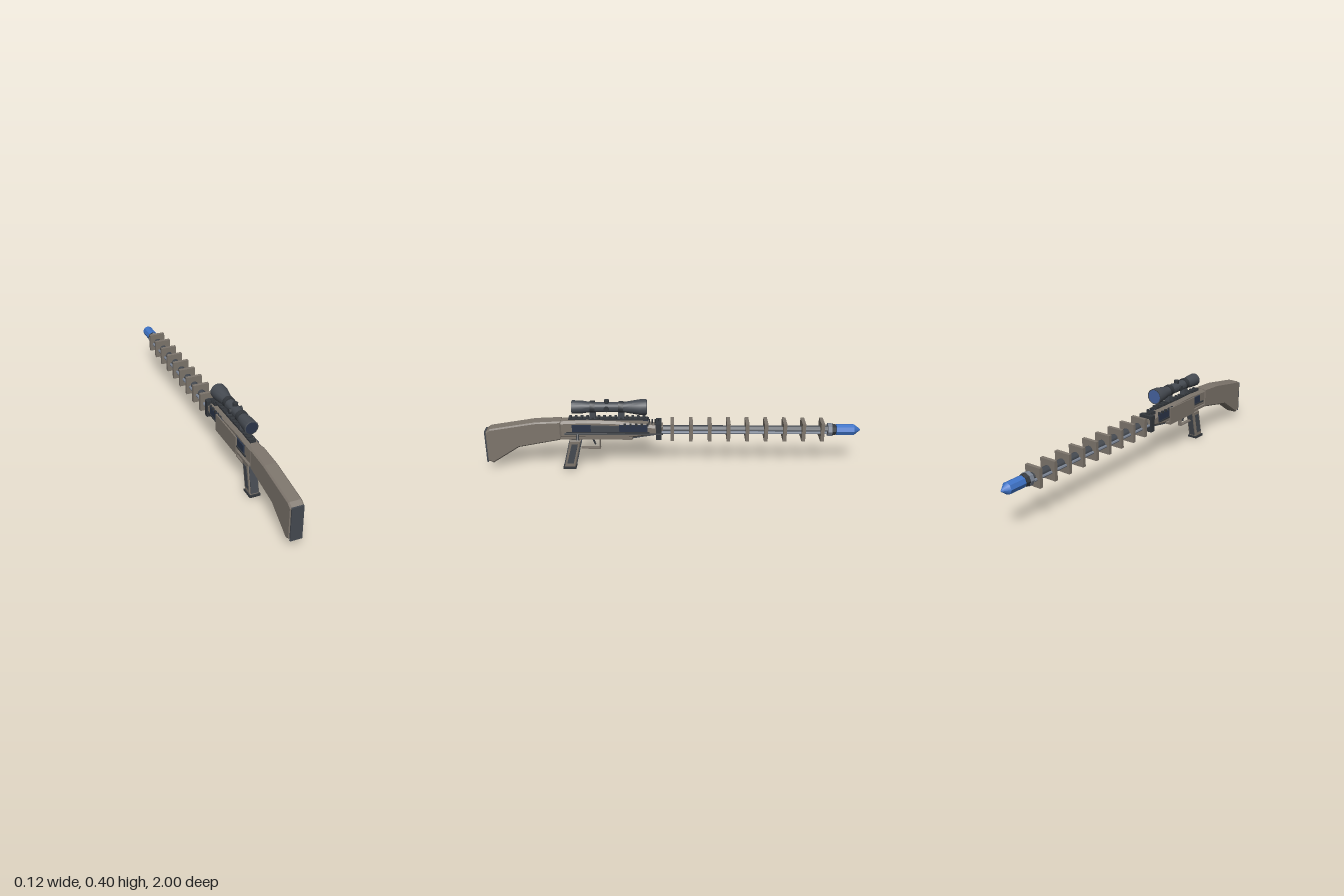
import * as THREE from 'three';
import { toCreasedNormals } from 'three/addons/utils/BufferGeometryUtils.js';

const mat = (name, color) => Object.assign(new THREE.MeshStandardMaterial({ color }), { name });

export function createModel() {
  const taupe = mat('taupe', 0x7d756c);
  const slate = mat('slate', 0x454a51);
  const navy = mat('navy', 0x2b3549);
  const charcoal = mat('charcoal', 0x33373c);
  const steel = mat('steel', 0x7b8493);
  const blue = mat('blue', 0x3f74c8);
  const lensBlue = mat('lens blue', 0x46639f);

  const body = new THREE.Group();
  body.name = 'rifle';
  body.position.x = -0.008;

  const add = (name, geo, material, x = 0, y = 0, z = 0) => {
    const m = new THREE.Mesh(geo, material);
    m.name = name;
    m.position.set(x, y, z);
    body.add(m);
    return m;
  };
  const box = (name, material, w, h, d, x, y, z) =>
    add(name, new THREE.BoxGeometry(w, h, d), material, x, y, z);
  // round part lying along z; front radius faces +z
  const tube = (name, material, rFront, rBack, z0, z1, x, y, sides = 12) =>
    add(name, toCreasedNormals(new THREE.CylinderGeometry(rFront, rBack, z1 - z0, sides).rotateX(Math.PI / 2), 0.7),
      material, x, y, (z0 + z1) / 2);
  // side outline of [z, y] points, extruded across the width
  const profile = (name, material, pts, width, bevel = 0, x = 0) => {
    const shape = new THREE.Shape(pts.map(([z, y]) => new THREE.Vector2(z, y)));
    const geo = new THREE.ExtrudeGeometry(shape, {
      depth: width - 2 * bevel, bevelEnabled: bevel > 0, bevelSize: bevel,
      bevelThickness: bevel, bevelOffset: -bevel, bevelSegments: 1
    });
    geo.translate(0, 0, -(width - 2 * bevel) / 2).rotateY(-Math.PI / 2);
    return add(name, geo, material, x);
  };

  // Stock and butt plate
  profile('stock', taupe, [[0.995, 0.055], [0.995, 0.222], [0.97, 0.24], [0.73, 0.28], [0.59, 0.287],
    [0.59, 0.18], [0.82, 0.135], [0.965, 0.04]], 0.07, 0.007);
  box('buttPlate', slate, 0.061, 0.18, 0.008, 0, 0.135, 0.996);

  // Receiver
  profile('receiver', taupe, [[0.6, 0.192], [0.6, 0.284], [0.45, 0.291], [0.3, 0.286], [0.13, 0.265],
    [0.05, 0.257], [0.05, 0.215], [0.2, 0.192]], 0.068, 0.012);
  box('lowerPlate', taupe, 0.086, 0.012, 0.38, 0, 0.193, 0.4);
  profile('foreEndStrap', slate, [[0.22, 0.185], [0.22, 0.194], [0.08, 0.218], [0.08, 0.208]], 0.05);

  // Side panels on both flanks
  for (const s of [-1, 1]) {
    box('rearPanel', navy, 0.012, 0.046, 0.1, s * 0.036, 0.246, 0.48);
    box('middlePanel', slate, 0.012, 0.034, 0.15, s * 0.036, 0.248, 0.355);
    box('lowerSidePanel', taupe, 0.012, 0.034, 0.23, s * 0.04, 0.214, 0.345);
    box('frontPanel', navy, 0.012, 0.04, 0.15, s * 0.036, 0.249, 0.205);
    box('sideTrim', charcoal, 0.006, 0.007, 0.44, s * 0.044, 0.228, 0.34);
    for (let i = 0; i < 5; i++) box('panelTooth', charcoal, 0.01, 0.014, 0.012, s * 0.038, 0.272, 0.13 + i * 0.03);
  }
  box('sidePlate', taupe, 0.007, 0.095, 0.24, -0.046, 0.23, 0.34);

  // Long slide rod with bolt handle on the left
  tube('slideRod', charcoal, 0.005, 0.005, 0.05, 0.57, 0.05, 0.224, 8);
  const handle = add('boltHandle', new THREE.CylinderGeometry(0.007, 0.009, 0.035, 8), charcoal, 0.055, 0.208, 0.5);
  handle.rotation.z = 0.55;

  // Grip with dark base and rear inset
  profile('grip', taupe, [[0.548, 0.17], [0.488, 0.17], [0.525, 0.012], [0.583, 0.012]], 0.052, 0.004);
  profile('gripBack', slate, [[0.552, 0.165], [0.545, 0.165], [0.58, 0.02], [0.587, 0.02]], 0.04);
  profile('gripFront', slate, [[0.49, 0.16], [0.485, 0.16], [0.518, 0.02], [0.526, 0.02]], 0.03);
  for (const s of [-1, 1])
    profile('gripInset', slate, [[0.538, 0.15], [0.505, 0.15], [0.533, 0.035], [0.568, 0.035]], 0.004, 0, s * 0.026);
  box('gripBase', charcoal, 0.058, 0.011, 0.07, 0, 0.0055, 0.556);
  box('gripNeck', charcoal, 0.03, 0.028, 0.04, 0, 0.178, 0.518);

  // Trigger and guard
  box('guardBottom', taupe, 0.022, 0.006, 0.105, 0, 0.119, 0.437);
  box('guardFront', taupe, 0.022, 0.07, 0.006, 0, 0.151, 0.388);
  profile('trigger', charcoal, [[0.435, 0.188], [0.425, 0.188], [0.41, 0.138], [0.416, 0.138]], 0.01);

  // Sight rail and mounts
  box('rail', charcoal, 0.03, 0.008, 0.42, 0, 0.292, 0.34);
  for (let i = 0; i < 14; i++) box('railTooth', charcoal, 0.034, 0.008, 0.014, 0, 0.299, 0.15 + i * 0.03);
  for (const z of [0.27, 0.42]) {
    box('mount', slate, 0.03, 0.045, 0.032, 0, 0.319, z);
    tube('mountRing', charcoal, 0.031, 0.031, z - 0.013, z + 0.013, 0, 0.36, 16);
  }

  // Scope
  const outline = [[0.036, 0.137], [0.042, 0.135], [0.042, 0.17], [0.035, 0.21], [0.027, 0.26],
    [0.027, 0.43], [0.034, 0.475], [0.036, 0.528], [0.031, 0.53]];
  const scopeGeo = new THREE.LatheGeometry(outline.map(([r, z]) => new THREE.Vector2(r, z)), 20).rotateX(Math.PI / 2);
  add('scope', toCreasedNormals(scopeGeo, 0.6), slate, 0, 0.358, 0);
  tube('frontLens', lensBlue, 0.037, 0.037, 0.136, 0.142, 0, 0.358, 20);
  tube('eyepieceLens', navy, 0.033, 0.033, 0.523, 0.529, 0, 0.358, 20);
  add('topTurret', new THREE.CylinderGeometry(0.014, 0.014, 0.018, 12), charcoal, 0, 0.39, 0.345);
  const sideTurret = add('sideTurrets', new THREE.CylinderGeometry(0.014, 0.014, 0.072, 12), charcoal, 0, 0.358, 0.345);
  sideTurret.rotation.z = Math.PI / 2;

  // Barrel, side rods and square cooling plates
  tube('barrel', slate, 0.021, 0.021, -0.87, 0.12, 0, 0.23, 12);
  for (const s of [-1, 1]) tube('sideRod', steel, 0.008, 0.008, -0.82, 0.1, s * 0.024, 0.222, 8);
  box('barrelBlock', charcoal, 0.08, 0.09, 0.03, 0, 0.23, 0.072);
  for (let i = 0; i < 4; i++) box('frontSightPost', charcoal, 0.03, 0.022, 0.006, 0, 0.272, 0.075 + i * 0.016);
  for (let i = 0; i < 9; i++) box('coolingPlate', taupe, 0.09, 0.1, 0.019, 0, 0.23, -i * 0.0993);

  // Muzzle and blue tip
  tube('muzzleCollar', steel, 0.036, 0.036, -0.848, -0.826, 0, 0.23, 8);
  tube('muzzleNut', charcoal, 0.034, 0.03, -0.868, -0.848, 0, 0.23, 8);
  tube('tipBody', blue, 0.03, 0.03, -0.965, -0.872, 0, 0.23, 8);
  tube('tipPoint', blue, 0.03, 0.003, -1, -0.965, 0, 0.23, 8);

  const group = new THREE.Group();
  group.name = 'model';
  group.add(body);
  return group;
}
